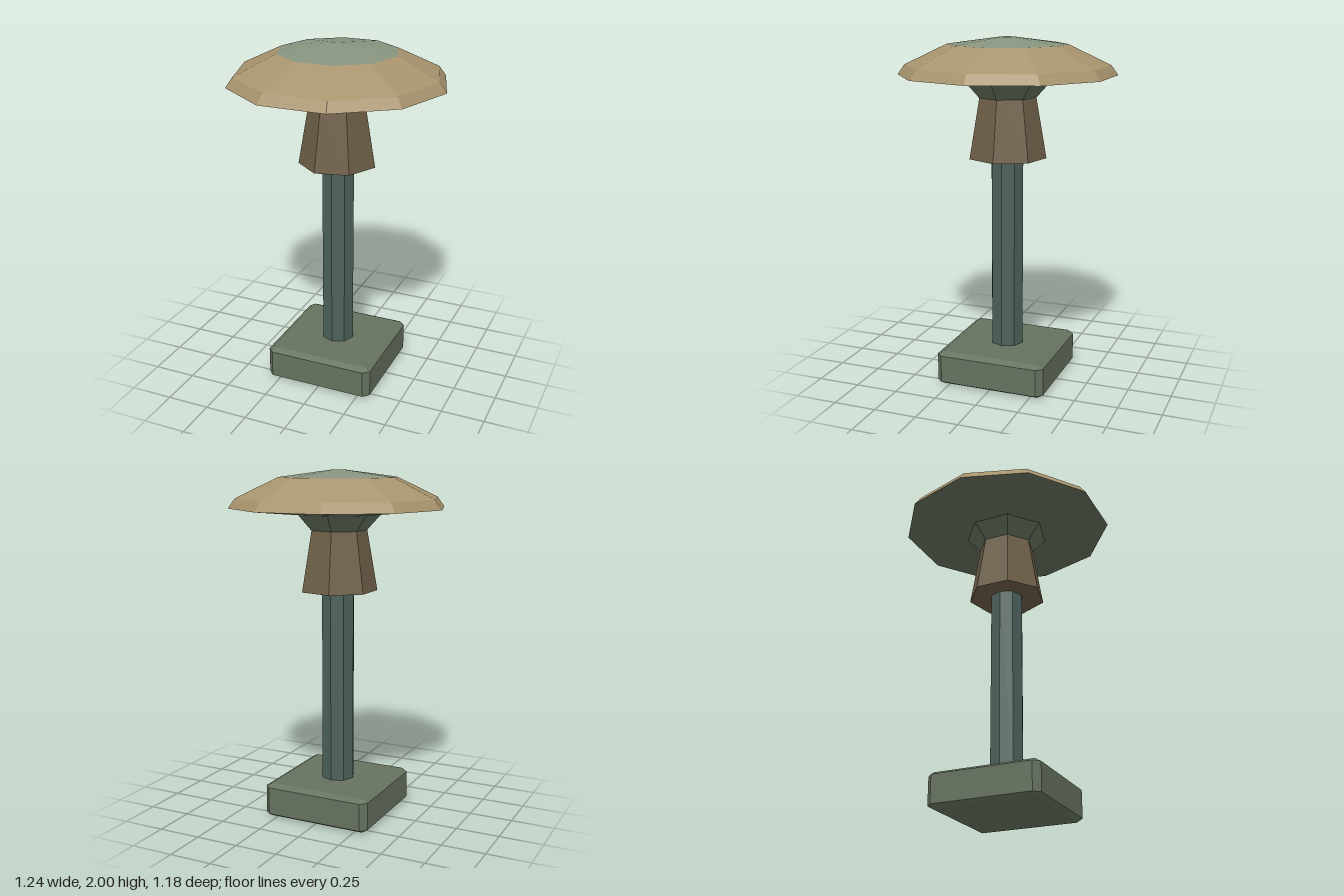
import * as THREE from 'three';
import { ConvexGeometry } from 'three/addons/geometries/ConvexGeometry.js';

function createPart(name, geometry, color) {
  const material = new THREE.MeshStandardMaterial({ flatShading: true });
  material.color.set(color);
  const mesh = new THREE.Mesh(geometry, material);
  mesh.name = name;
  return mesh;
}

// Faceted turned shape; profile of [radius, height] pairs from bottom to top
function turned(profile, sides, start = Math.PI / 2) {
  return new THREE.LatheGeometry(profile.map(([r, y]) => new THREE.Vector2(r, y)), sides, start);
}

// Box with single-facet bevels: hull of its six inset faces
function bevelledBox(half, bevelSide, bevelY) {
  const inner = half.clone().sub(new THREE.Vector3(bevelSide, bevelY, bevelSide));
  const points = [];
  for (const sx of [-1, 1]) for (const sy of [-1, 1]) for (const sz of [-1, 1]) {
    const sign = new THREE.Vector3(sx, sy, sz);
    for (const axis of ['x', 'y', 'z']) {
      const p = inner.clone();
      p[axis] = half[axis];
      points.push(p.multiply(sign));
    }
  }
  return new ConvexGeometry(points);
}

export function createModel() {
  const model = new THREE.Group();
  model.name = 'mushroomLamp';

  // Square foot with bevelled edges
  const base = createPart('base', bevelledBox(new THREE.Vector3(0.325, 0.1, 0.325), 0.035, 0.02), 0x66725f);
  base.position.y = 0.1;

  // Octagonal post
  const post = createPart('post', turned([[0, 0.19], [0.097, 0.19], [0.097, 1.34], [0, 1.34]], 8, 0), 0x4e625c);

  // Seven-sided collar and the flared neck above it
  const collar = createPart('collar', turned([[0, 1.32], [0.225, 1.32], [0.165, 1.665], [0, 1.665]], 7), 0x6e6048);
  const neck = createPart('neck', turned([[0.165, 1.665], [0.25, 1.76]], 7), 0x66725f);

  // Ten-sided cap: underside, shell and crown
  const underside = createPart('capUnderside', turned([[0, 1.75], [0.24, 1.755], [0.62, 1.79]], 10), 0x66725f);
  const shell = createPart('capShell', turned([[0.62, 1.79], [0.58, 1.845], [0.34, 1.96]], 10), 0xa8946e);
  const crown = createPart('capCrown', turned([[0.34, 1.96], [0.04, 2], [0, 2]], 10), 0x87947f);

  model.add(base, post, collar, neck, underside, shell, crown);
  return model;
}
